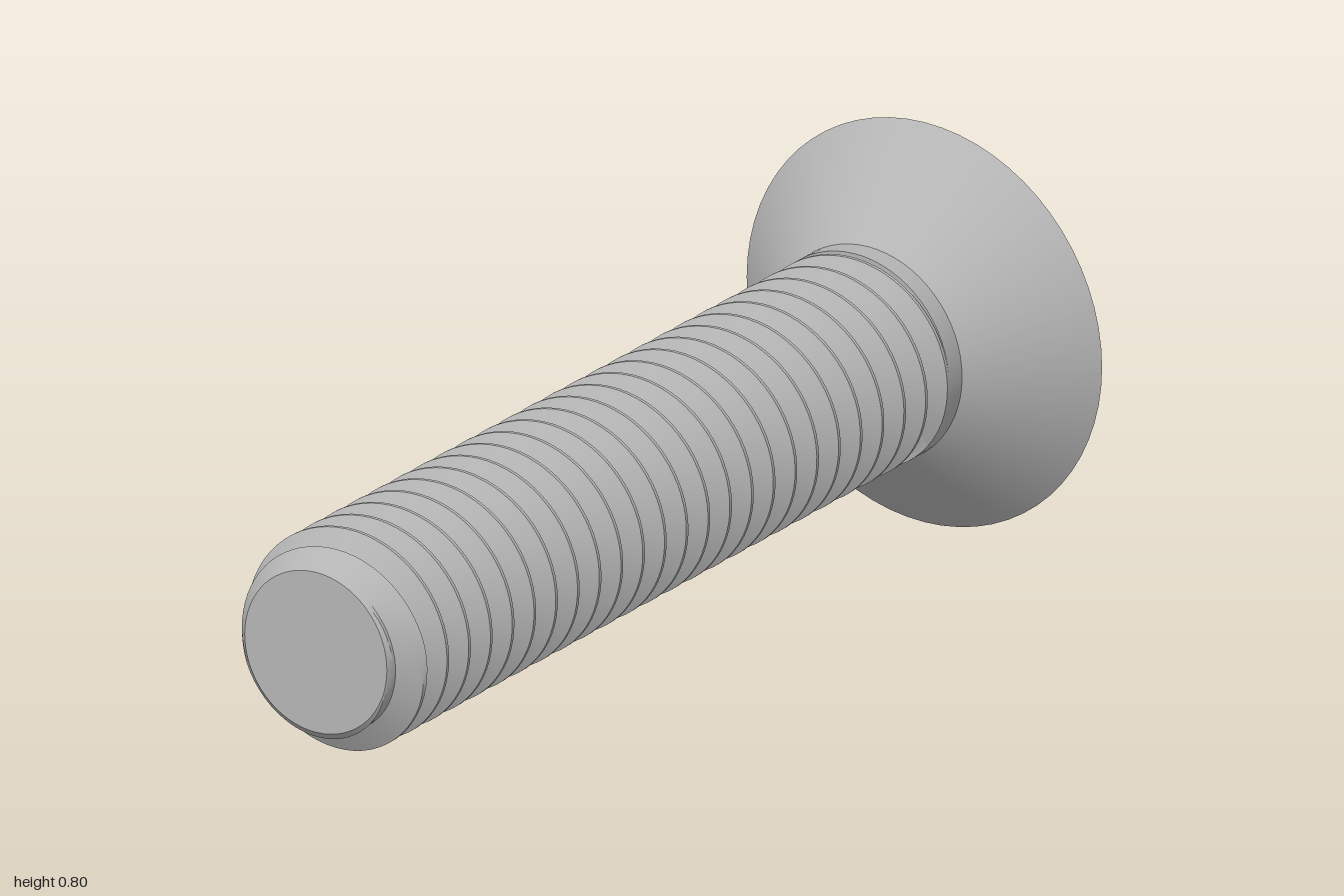
import * as THREE from 'three';
import { toCreasedNormals } from 'three/addons/utils/BufferGeometryUtils.js';

const AXIS_Y = 0.4, SEGMENTS = 64;
const HEAD_R = 0.4, CREST_R = 0.213, ROOT_R = 0.166, TIP_R = 0.16;
const BACK = -1, COLLAR_END = -0.77, FRONT = 1;
const PITCH = 0.0715, CREST_U = 0.805;

// Build a sharp-edged geometry from triangles, dropping collapsed ones
function fromTriangles(triangles) {
  const tri = new THREE.Triangle();
  const points = [];
  for (const [a, b, c] of triangles) {
    if (tri.set(a, b, c).getArea() > 1e-9) points.push(a, b, c);
  }
  return toCreasedNormals(new THREE.BufferGeometry().setFromPoints(points), 0.5);
}

// Right-handed helical thread, trimmed at the collar and chamfered at the tip
function threadGeometry() {
  const stations = [[-0.05, CREST_R], [0.05, CREST_R], [0.25, (CREST_R + ROOT_R) / 2],
    [0.45, ROOT_R], [0.55, ROOT_R], [0.75, (CREST_R + ROOT_R) / 2]];
  const profile = [];
  for (let turn = -24; turn <= 4; turn++) {
    for (const [f, r] of stations) profile.push([CREST_U + (turn + f) * PITCH, r]);
  }
  const point = ([u, r], step) => {
    const angle = (step / SEGMENTS) * Math.PI * 2;
    const z = THREE.MathUtils.clamp(u + (PITCH * step) / SEGMENTS, COLLAR_END, FRONT);
    const radius = Math.min(r, TIP_R + (FRONT - z));
    return new THREE.Vector3(Math.cos(angle) * radius, Math.sin(angle) * radius, z);
  };
  const triangles = [];
  for (let k = 0; k < profile.length - 1; k++) {
    for (let s = 0; s < SEGMENTS; s++) {
      const a = point(profile[k], s), b = point(profile[k], s + 1);
      const c = point(profile[k + 1], s + 1), d = point(profile[k + 1], s);
      triangles.push([a, b, c], [a, c, d]);
    }
  }
  return fromTriangles(triangles);
}

// Cross outline: arm reach, arm half width at the end, and inner corner position
function crossOutline(reach, half, cornerX, cornerY, z) {
  const points = [];
  for (let q = 0; q < 4; q++) {
    for (const [x, y] of [[cornerX, -cornerY], [reach, -half], [reach, half], [cornerX, cornerY]]) {
      points.push(new THREE.Vector3(x, y, z).applyAxisAngle(new THREE.Vector3(0, 0, 1), q * Math.PI / 2));
    }
  }
  return points;
}

// Cross-shaped socket tapering into the head
function recessGeometry(levels) {
  const triangles = [];
  const n = levels[0].length;
  for (let l = 0; l < levels.length - 1; l++) {
    for (let i = 0; i < n; i++) {
      const j = (i + 1) % n;
      const a = levels[l][i], b = levels[l][j], c = levels[l + 1][j], d = levels[l + 1][i];
      triangles.push([a, c, b], [a, d, c]);
    }
  }
  const last = levels[levels.length - 1];
  const centre = new THREE.Vector3(0, 0, last[0].z + 0.015);
  for (let i = 0; i < n; i++) triangles.push([centre, last[(i + 1) % n], last[i]]);
  return fromTriangles(triangles);
}

export function createModel() {
  const model = new THREE.Group();
  model.name = 'countersunkScrew';
  const steel = new THREE.MeshStandardMaterial({ color: 0xb4b4b4 });
  steel.name = 'steelGrey';
  const add = (name, geometry, z = 0) => {
    const mesh = new THREE.Mesh(geometry, steel);
    mesh.name = name;
    mesh.position.set(0, AXIS_Y, z);
    model.add(mesh);
  };

  // Conical head and the plain collar below it
  const profile = [[HEAD_R, BACK], [CREST_R, -0.813], [CREST_R, COLLAR_END], [TIP_R, COLLAR_END]];
  const body = new THREE.LatheGeometry(profile.map(([r, z]) => new THREE.Vector2(r, z)), SEGMENTS);
  add('headAndCollar', toCreasedNormals(body.rotateX(Math.PI / 2), 0.5));

  // Flat head face with the cross opening
  const levels = [
    crossOutline(0.267, 0.055, 0.13, 0.065, BACK),
    crossOutline(0.2, 0.045, 0.095, 0.05, BACK + 0.14),
    crossOutline(0.08, 0.035, 0.06, 0.04, BACK + 0.23),
  ];
  const face = new THREE.Shape().absarc(0, 0, HEAD_R, 0, Math.PI * 2);
  face.holes.push(new THREE.Path(levels[0].map((p) => new THREE.Vector2(p.x, p.y))));
  add('headFace', new THREE.ShapeGeometry(face, 32).rotateY(Math.PI), BACK);
  add('crossRecess', recessGeometry(levels));

  // Threaded shank and its flat tip
  add('thread', threadGeometry());
  add('tipFace', new THREE.CircleGeometry(TIP_R, SEGMENTS), FRONT);
  return model;
}
